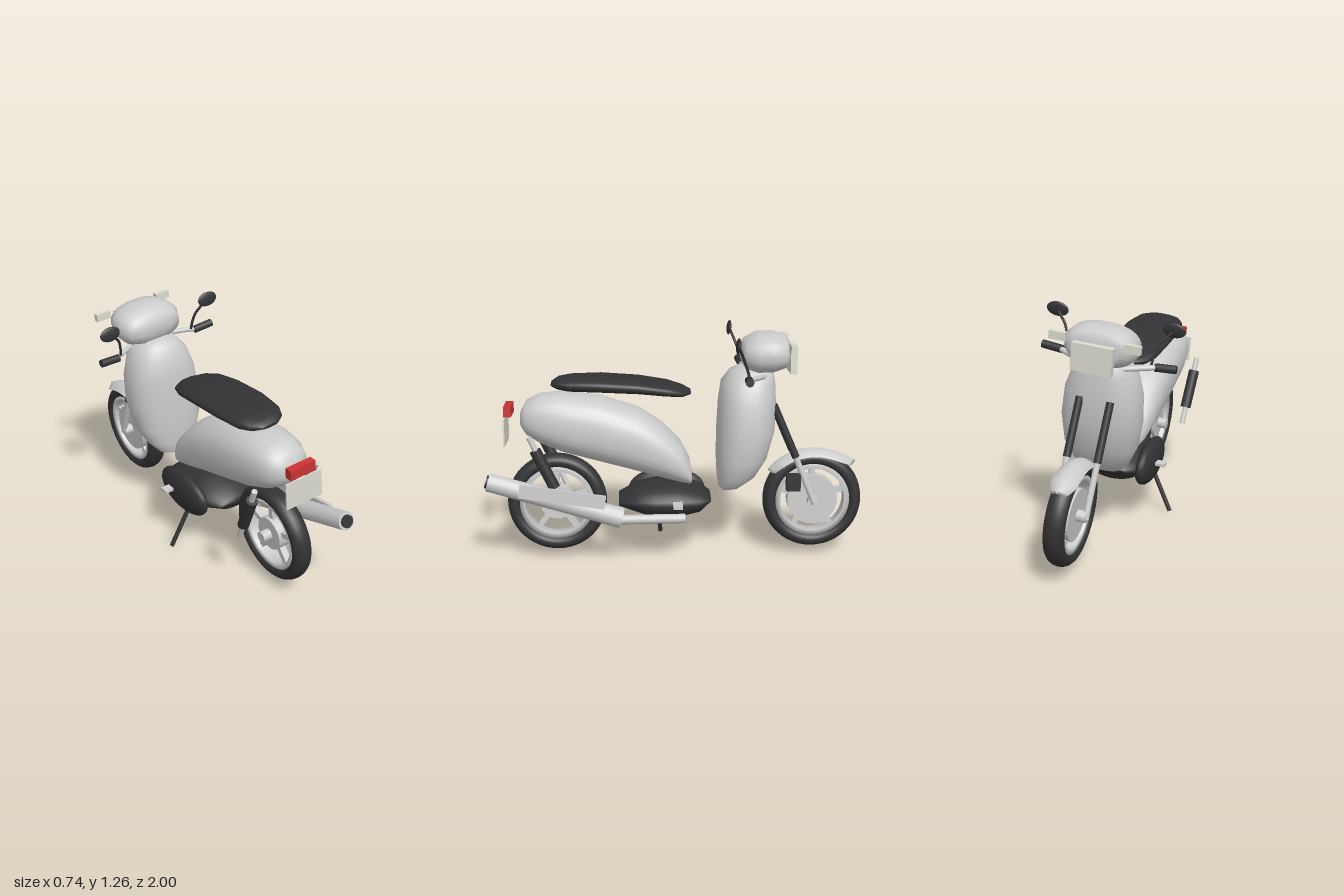
import * as THREE from 'three';
import { ParametricGeometry } from 'three/addons/geometries/ParametricGeometry.js';

const mat = (color, side = THREE.FrontSide) => new THREE.MeshStandardMaterial({ color, side });
const grey = mat(0xcccccc), greyThin = mat(0xcccccc, THREE.DoubleSide);
const black = mat(0x333335), cream = mat(0xdcdcd0), red = mat(0xcc3333);
const V = (x, y, z) => new THREE.Vector3(x, y, z);

function add(parent, name, geometry, material, x = 0, y = 0, z = 0) {
  const mesh = new THREE.Mesh(geometry, material);
  mesh.name = name;
  mesh.position.set(x, y, z);
  parent.add(mesh);
  return mesh;
}

// Round bar from a to b
function rod(parent, name, a, b, r0, material, r1 = r0) {
  const mesh = add(parent, name, new THREE.CylinderGeometry(r1, r0, a.distanceTo(b), 16), material);
  mesh.position.copy(a).lerp(b, 0.5);
  mesh.quaternion.setFromUnitVectors(V(0, 1, 0), b.clone().sub(a).normalize());
  return mesh;
}

// Rounded hull through cross-sections [z, low y, high y, half width], z increasing
function hull(rings, power = 0.85, n = 28) {
  const pos = [], idx = [];
  const bend = (v) => Math.sign(v) * Math.abs(v) ** power;
  for (const [z, lo, hi, w] of rings) {
    for (let j = 0; j < n; j++) {
      const a = (j / n) * Math.PI * 2;
      pos.push(w * bend(Math.cos(a)), (lo + hi) / 2 + ((hi - lo) / 2) * bend(Math.sin(a)), z);
    }
  }
  const last = rings.length - 1;
  for (let i = 0; i < last; i++) {
    for (let j = 0; j < n; j++) {
      const a = i * n + j, b = i * n + ((j + 1) % n);
      idx.push(a, b, b + n, a, b + n, a + n);
    }
  }
  // End caps
  for (const i of [0, last]) {
    const [z, lo, hi] = rings[i], c = pos.length / 3;
    pos.push(0, (lo + hi) / 2, z);
    for (let j = 0; j < n; j++) {
      const a = i * n + j, b = i * n + ((j + 1) % n);
      if (i) idx.push(c, a, b); else idx.push(c, b, a);
    }
  }
  const g = new THREE.BufferGeometry();
  g.setAttribute('position', new THREE.Float32BufferAttribute(pos, 3));
  g.setIndex(idx);
  g.computeVertexNormals();
  return g;
}

function wheel(parent, name, z, hubRadius) {
  const w = new THREE.Group();
  w.name = name;
  w.position.set(0, 0.31, z);
  parent.add(w);
  const tyre = new THREE.TorusGeometry(0.226, 0.04, 16, 48).rotateY(Math.PI / 2).scale(1.35, 1, 1);
  add(w, 'tyre', tyre, black);
  // Flat rim band
  const rim = [[0.172, -0.035], [0.2, -0.04], [0.2, 0.04], [0.172, 0.035], [0.172, -0.035]];
  add(w, 'rim', new THREE.LatheGeometry(rim.map((p) => new THREE.Vector2(...p)), 48).rotateZ(Math.PI / 2), greyThin);
  add(w, 'hub', new THREE.CylinderGeometry(hubRadius, hubRadius, 0.07, 32).rotateZ(Math.PI / 2), grey);
  add(w, 'axle', new THREE.CylinderGeometry(0.03, 0.03, 0.17, 16).rotateZ(Math.PI / 2), grey);
  for (let i = 0; i < 5; i++) {
    const spoke = new THREE.BoxGeometry(0.035, 0.13, 0.03).translate(0, 0.12, 0);
    add(w, 'spoke', spoke, grey).rotation.x = (i * Math.PI * 2) / 5;
  }
}

export function createModel() {
  const model = new THREE.Group();
  model.name = 'scooter';
  // The whole machine leans on its side stand
  const s = new THREE.Group();
  s.name = 'leaningScooter';
  s.position.x = 0.12;
  s.rotation.z = 0.1;
  model.add(s);

  wheel(s, 'rearWheel', 0.64, 0.09);
  wheel(s, 'frontWheel', -0.73, 0.135);

  // Rear body, seat, headlight housing and engine
  add(s, 'rearBody', hull([
    [-0.08, 0.42, 0.48, 0.09], [-0.07, 0.41, 0.54, 0.13], [-0.02, 0.42, 0.64, 0.155], [0.08, 0.445, 0.74, 0.167],
    [0.2, 0.48, 0.82, 0.172], [0.4, 0.535, 0.885, 0.172], [0.6, 0.59, 0.91, 0.162], [0.72, 0.64, 0.9, 0.142],
    [0.79, 0.685, 0.865, 0.112], [0.82, 0.73, 0.81, 0.06]]), grey);
  add(s, 'seat', hull([
    [-0.075, 0.895, 0.915, 0.05], [-0.03, 0.885, 0.935, 0.11], [0.05, 0.89, 0.96, 0.138], [0.2, 0.905, 0.985, 0.148],
    [0.4, 0.915, 1.0, 0.148], [0.56, 0.92, 0.997, 0.13], [0.62, 0.93, 0.987, 0.1], [0.655, 0.945, 0.965, 0.05]]), black);
  add(s, 'headlightHousing', hull([
    [-0.585, 1.06, 1.18, 0.12], [-0.565, 1.03, 1.205, 0.158], [-0.5, 1.01, 1.22, 0.185], [-0.42, 1.005, 1.218, 0.185],
    [-0.36, 1.03, 1.185, 0.155], [-0.34, 1.07, 1.15, 0.1]]), grey);
  add(s, 'engine', hull([
    [-0.18, 0.31, 0.35, 0.1], [-0.12, 0.25, 0.4, 0.16], [0, 0.22, 0.43, 0.185], [0.12, 0.22, 0.43, 0.185],
    [0.22, 0.26, 0.4, 0.17], [0.31, 0.29, 0.35, 0.1]], 1.1), black);
  const cover = add(s, 'crankcaseCover', new THREE.SphereGeometry(1, 28, 18), black, -0.163, 0.325, 0.05);
  cover.scale.set(0.055, 0.12, 0.21);

  // Leg shield: sections stacked upward
  add(s, 'legShield', hull([
    [0.375, 0.24, 0.29, 0.06], [0.39, 0.225, 0.34, 0.1], [0.45, 0.215, 0.42, 0.15], [0.55, 0.21, 0.48, 0.193],
    [0.7, 0.212, 0.52, 0.21], [0.85, 0.22, 0.525, 0.2], [0.96, 0.235, 0.52, 0.165], [1.02, 0.28, 0.51, 0.12],
    [1.045, 0.33, 0.485, 0.07]]), grey).rotation.x = -Math.PI / 2;

  // Front fender: arched strip with drooping edges and rounded ends
  const fender = new ParametricGeometry((u, v, p) => {
    const a = THREE.MathUtils.degToRad(34 + 104 * u);
    const side = v * 2 - 1;
    const r = 0.277 + 0.035 * u ** 6 + 0.012 * (1 - u) ** 4 - 0.035 * side * side;
    const w = 0.068 * Math.min(1, 0.4 + 1.6 * Math.sqrt(Math.min(u, 1 - u)));
    p.set(w * side, 0.31 + r * Math.sin(a), -0.73 + r * Math.cos(a));
  }, 32, 10);
  add(s, 'frontFender', fender, greyThin);

  // Lights and plate
  add(s, 'headlight', new THREE.BoxGeometry(0.21, 0.14, 0.035), cream, 0, 1.08, -0.607);
  add(s, 'tailLight', new THREE.BoxGeometry(0.15, 0.055, 0.04), red, 0, 0.818, 0.885);
  add(s, 'licencePlate', new THREE.BoxGeometry(0.215, 0.145, 0.008), cream, 0, 0.71, 0.903);

  // Mirrored parts
  for (const m of [-1, 1]) {
    add(s, 'turnSignal', new THREE.BoxGeometry(0.085, 0.042, 0.03), cream, m * 0.19, 1.16, -0.59);
    rod(s, 'handlebar', V(m * 0.08, 1.0, -0.47), V(m * 0.26, 1.012, -0.36), 0.014, grey);
    rod(s, 'grip', V(m * 0.245, 1.01, -0.36), V(m * 0.355, 1.017, -0.355), 0.021, black);
    const stem = new THREE.CatmullRomCurve3([
      V(m * 0.227, 1.02, -0.365), V(m * 0.232, 1.07, -0.35), V(m * 0.248, 1.125, -0.33), V(m * 0.3, 1.185, -0.305)]);
    add(s, 'mirrorStem', new THREE.TubeGeometry(stem, 16, 0.007, 8), black);
    const mirror = add(s, 'mirror', new THREE.SphereGeometry(1, 24, 14), black, m * 0.308, 1.196, -0.3);
    mirror.scale.set(0.059, 0.039, 0.012);
    mirror.rotation.x = -0.12;

    rod(s, 'forkUpper', V(m * 0.08, 0.84, -0.51), V(m * 0.08, 0.56, -0.63), 0.02, black);
    rod(s, 'forkLower', V(m * 0.08, 0.57, -0.625), V(m * 0.08, 0.3, -0.735), 0.016, grey);

    rod(s, 'shockRod', V(m * 0.19, 0.71, 0.765), V(m * 0.187, 0.35, 0.6), 0.015, grey);
    rod(s, 'shockSpring', V(m * 0.19, 0.64, 0.735), V(m * 0.187, 0.44, 0.64), 0.03, black);
    add(s, 'footPeg', new THREE.BoxGeometry(0.12, 0.016, 0.05), grey, m * 0.205, 0.342, 0);
  }
  add(s, 'brakeCaliper', new THREE.BoxGeometry(0.045, 0.09, 0.075), black, 0.075, 0.42, -0.62);

  // Exhaust on the right-hand viewing side
  const low = V(0.172, 0.265, 0.295), high = V(0.192, 0.475, 0.985);
  rod(s, 'muffler', low, high, 0.055, grey, 0.048);
  rod(s, 'mufflerTip', high.clone().lerp(low, 0.03), V(0.192, 0.478, 0.995), 0.034, black);
  rod(s, 'exhaustPipe', V(0.165, 0.255, -0.04), V(0.172, 0.255, 0.32), 0.025, grey);
  const guard = add(s, 'heatShield', new THREE.BoxGeometry(0.02, 0.07, 0.45), grey, 0.226, 0.4, 0.6);
  guard.rotation.x = -0.15;

  // Side stand
  rod(s, 'sideStand', V(-0.15, 0.29, 0.105), V(-0.298, 0.035, 0.083), 0.012, black);
  return model;
}
